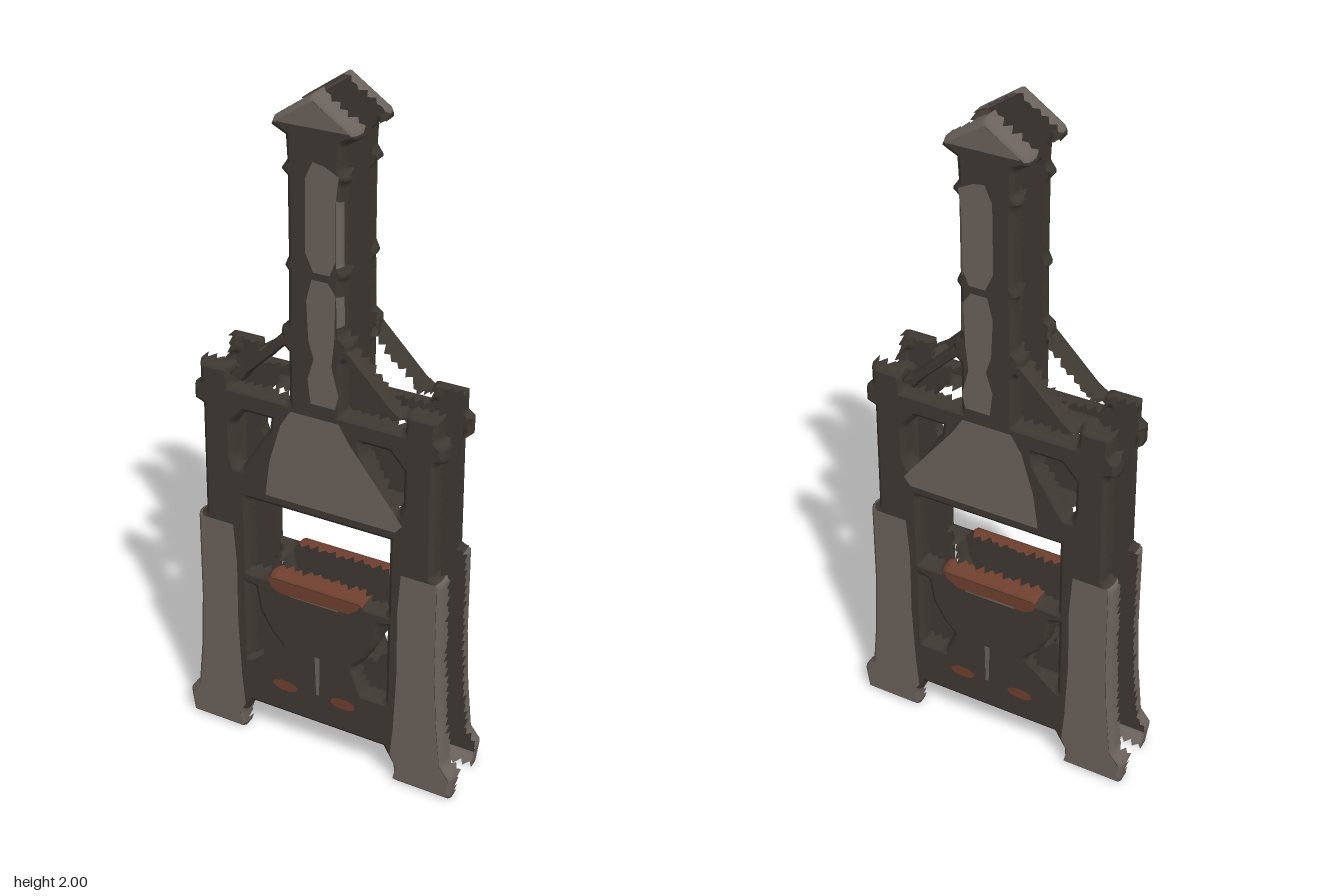
import * as THREE from 'three';

const paint = (name, color) =>
  Object.assign(new THREE.MeshStandardMaterial({ color, side: THREE.DoubleSide }), { name });

// Small seeded generator for the ragged inner edges
function seeded(seed) {
  return () => (seed = (seed * 16807) % 2147483647) / 2147483647;
}

const FRONT = 0.103;
const flip = pts => pts.map(([x, y]) => [-x, y]).reverse();
const vecs = pts => pts.map(p => new THREE.Vector2(...p));

// Corners of a loop with the mitred direction that points into the material
function mitred(pts, isHole) {
  const loop = vecs(pts);
  if (THREE.ShapeUtils.isClockWise(loop) !== isHole) loop.reverse();
  const n = loop.length;
  return loop.map((p, i) => {
    const side = (a, b) => new THREE.Vector2(a.y - b.y, b.x - a.x).normalize();
    const n1 = side(loop[(i + n - 1) % n], p), n2 = side(p, loop[(i + 1) % n]);
    return { p, d: n1.clone().add(n2).divideScalar(Math.max(0.5, 1 + n1.dot(n2))) };
  });
}

// Rounded rim and side wall around a loop, ending in a torn edge
function rim(corners, bevel, materials, colourAt, rand) {
  const ring = [];
  corners.forEach((a, i) => {
    const b = corners[(i + 1) % corners.length];
    const steps = Math.max(1, Math.ceil(a.p.distanceTo(b.p) / 0.014));
    for (let s = 0; s < steps; s++) {
      ring.push({ p: a.p.clone().lerp(b.p, s / steps), d: a.d.clone().lerp(b.d, s / steps) });
    }
  });
  const n = ring.length, position = [], faces = materials.map(() => []);
  for (let row = 0; row < 4; row++) {
    ring.forEach(({ p, d }, i) => {
      const inset = [bevel, bevel * 0.35, 0, 0][row];
      const torn = i % 2 ? 0.043 + 0.012 * rand() : 0.056 + 0.022 * rand();
      const z = [FRONT, FRONT - 0.005, FRONT - 0.018, torn][row];
      position.push(p.x + d.x * inset, p.y + d.y * inset, z);
    });
  }
  for (let row = 0; row < 3; row++) {
    for (let i = 0; i < n; i++) {
      const j = (i + 1) % n, f = row * n, k = f + n;
      const c = colourAt((ring[i].p.x + ring[j].p.x) / 2, (ring[i].p.y + ring[j].p.y) / 2, row);
      faces[c].push(k + i, k + j, f + j, k + i, f + j, f + i);
    }
  }
  const g = new THREE.BufferGeometry();
  g.setAttribute('position', new THREE.Float32BufferAttribute(position, 3));
  g.setIndex(faces.flat());
  let start = 0;
  faces.forEach((f, m) => { g.addGroup(start, f.length, m); start += f.length; });
  g.computeVertexNormals();
  return new THREE.Mesh(g, materials);
}

// Hollow shell: flat face, rounded rims, open behind
function shell(name, outline, holes, bevel, materials, colourAt, rand) {
  const group = new THREE.Group();
  group.name = name;
  const loops = [outline, ...holes].map((l, i) => mitred(l, i > 0));
  const inner = loops.map(l => l.map(({ p, d }) => p.clone().addScaledVector(d, bevel)));
  const shape = new THREE.Shape(inner[0]);
  shape.holes = inner.slice(1).map(l => new THREE.Path(l));
  const face = new THREE.Mesh(new THREE.ShapeGeometry(shape).translate(0, 0, FRONT), materials[0]);
  face.name = name + 'Face';
  group.add(face);
  loops.forEach((l, i) => {
    const wall = rim(l, bevel, materials, colourAt, rand);
    wall.name = name + (i ? 'OpeningRim' + i : 'OuterRim');
    group.add(wall);
  });
  return group;
}

// Thin coloured facing on the shell
function plate(name, pts, material) {
  const g = new THREE.ShapeGeometry(new THREE.Shape(vecs(pts))).translate(0, 0, FRONT + 0.002);
  const mesh = new THREE.Mesh(g, material);
  mesh.name = name;
  return mesh;
}

// Silhouette of the forge from the foot up to the chimney cap
const rightEdge = [
  [0.21, 0.115], [0.24, 0.06], [0.245, 0], [0.42, 0], [0.43, 0.08], [0.4, 0.12], [0.385, 0.27],
  [0.375, 0.45], [0.372, 0.73], [0.345, 0.745], [0.34, 1.09], [0.365, 1.1], [0.365, 1.145],
  [0.345, 1.16], [0.345, 1.22], [0.255, 1.22], [0.25, 1.165], [0.078, 1.165], [0.078, 1.31],
  [0.1, 1.33], [0.098, 1.375], [0.078, 1.39], [0.075, 1.535], [0.086, 1.55], [0.075, 1.575],
  [0.075, 1.785], [0.092, 1.8], [0.075, 1.825], [0.078, 1.885], [0.118, 1.905], [0.11, 1.925],
];
const outline = [...rightEdge, [0, 2], ...flip(rightEdge)];

const cornerHole = [[0.24, 0.92], [0.25, 0.95], [0.25, 1.05], [0.21, 1.095], [0.135, 1.095],
  [0.14, 1.06], [0.225, 0.92]];
const besidePot = [[0.213, 0.28], [0.213, 0.54], [0.195, 0.535], [0.183, 0.46], [0.15, 0.4],
  [0.115, 0.36], [0.147, 0.28]];
const underPot = [[-0.12, 0.275], [0.12, 0.275], [0.09, 0.355], [-0.09, 0.355]];
const abovePot = [[-0.21, 0.585], [-0.155, 0.585], [-0.14, 0.603], [0.14, 0.603], [0.155, 0.585],
  [0.215, 0.585], [0.215, 0.825], [-0.21, 0.825]];
const holes = [cornerHole, flip(cornerHole), besidePot, flip(besidePot), underPot, abovePot];

function halfForge(name, mats, seed) {
  const { wood, stone, ember } = mats, all = [wood, stone, ember];
  const rand = seeded(seed);
  const half = new THREE.Group();
  half.name = name;

  const colourAt = (x, y, row) => {
    if (y < 0.735 && Math.abs(x) > 0.235) return 1;
    if (y > 1.915) return 1;
    if (x > 0.07 && x < 0.08 && row < 2 && ((y > 1.41 && y < 1.5) || (y > 1.58 && y < 1.74))) return 1;
    if (Math.abs(x) < 0.15 && y > 0.58 && y < 0.61) return 2;
    return 0;
  };
  half.add(shell('frame', outline, holes, 0.014, all, colourAt, rand));

  // Diagonal chimney braces and the prop under the pot
  const dark = () => 0;
  const brace = [[0.075, 1.335], [0.09, 1.36], [0.22, 1.225], [0.255, 1.2], [0.215, 1.185], [0.2, 1.21]];
  half.add(shell('leftBrace', brace, [], 0.006, all, dark, rand));
  half.add(shell('rightBrace', flip(brace), [], 0.006, all, dark, rand));
  const prop = [[-0.006, 0.27], [0.014, 0.27], [0.014, 0.36], [-0.006, 0.36]];
  half.add(shell('potProp', prop, [], 0.004, all, dark, rand));

  // Stone piers
  const pier = [[0.245, 0.014], [0.41, 0.014], [0.415, 0.076], [0.387, 0.115], [0.371, 0.27],
    [0.361, 0.45], [0.358, 0.73], [0.255, 0.73], [0.247, 0.6], [0.25, 0.4], [0.243, 0.2],
    [0.235, 0.1], [0.255, 0.06]];
  half.add(plate('leftPier', pier, stone), plate('rightPier', flip(pier), stone));

  // Stone smoke hood, chimney facing and cap
  half.add(plate('smokeHood', [[-0.15, 0.86], [0.235, 0.86], [0.255, 0.885], [0.23, 0.92],
    [0.1, 1.09], [0.07, 1.14], [-0.07, 1.14], [-0.1, 1.09], [-0.135, 0.97]], stone));
  half.add(plate('chimneyFacingLower', [[-0.01, 1.18], [0.06, 1.18], [0.07, 1.22], [0.05, 1.3],
    [0.058, 1.38], [0.061, 1.5], [0.04, 1.53], [-0.005, 1.53], [-0.02, 1.47], [-0.015, 1.36],
    [0, 1.31], [-0.018, 1.25]], stone));
  half.add(plate('chimneyFacingUpper', [[0, 1.55], [0.045, 1.55], [0.061, 1.59], [0.061, 1.74],
    [0.07, 1.81], [0.03, 1.83], [0, 1.835], [-0.02, 1.79], [-0.022, 1.6]], stone));
  half.add(plate('chimneyCap', [[-0.09, 1.918], [0.095, 1.918], [0.09, 1.925], [0, 1.983],
    [-0.09, 1.925]], stone));

  // Glowing coals in the pot and on the lower beam
  half.add(plate('potCoals', [[-0.15, 0.588], [-0.14, 0.56], [-0.11, 0.545], [0.1, 0.548],
    [0.13, 0.57], [0.138, 0.589]], ember));
  half.add(plate('potRimShadow', [[-0.08, 0.543], [0.07, 0.543], [0.07, 0.55], [-0.08, 0.55]], stone));
  [[-0.1, 0.22], [0.085, 0.223]].forEach(([x, y], i) => {
    const g = new THREE.CircleGeometry(1, 10).scale(0.04, 0.019, 1).translate(x, y, FRONT + 0.002);
    const spot = new THREE.Mesh(g, ember);
    spot.name = 'beamCoal' + (i + 1);
    half.add(spot);
  });
  const drip = plate('potDrip', [[0, 0.225], [0.01, 0.225], [0.012, 0.36], [-0.004, 0.36]], stone);
  half.add(drip);
  return half;
}

export function createModel() {
  const mats = {
    wood: paint('dark wood', 0x3f3932),
    stone: paint('grey stone', 0x6b625c),
    ember: paint('rusty ember', 0x70402f),
  };
  const model = new THREE.Group();
  model.name = 'forge';
  const back = halfForge('backHalf', mats, 77);
  back.scale.z = -1;
  model.add(halfForge('frontHalf', mats, 31), back);
  return model;
}
